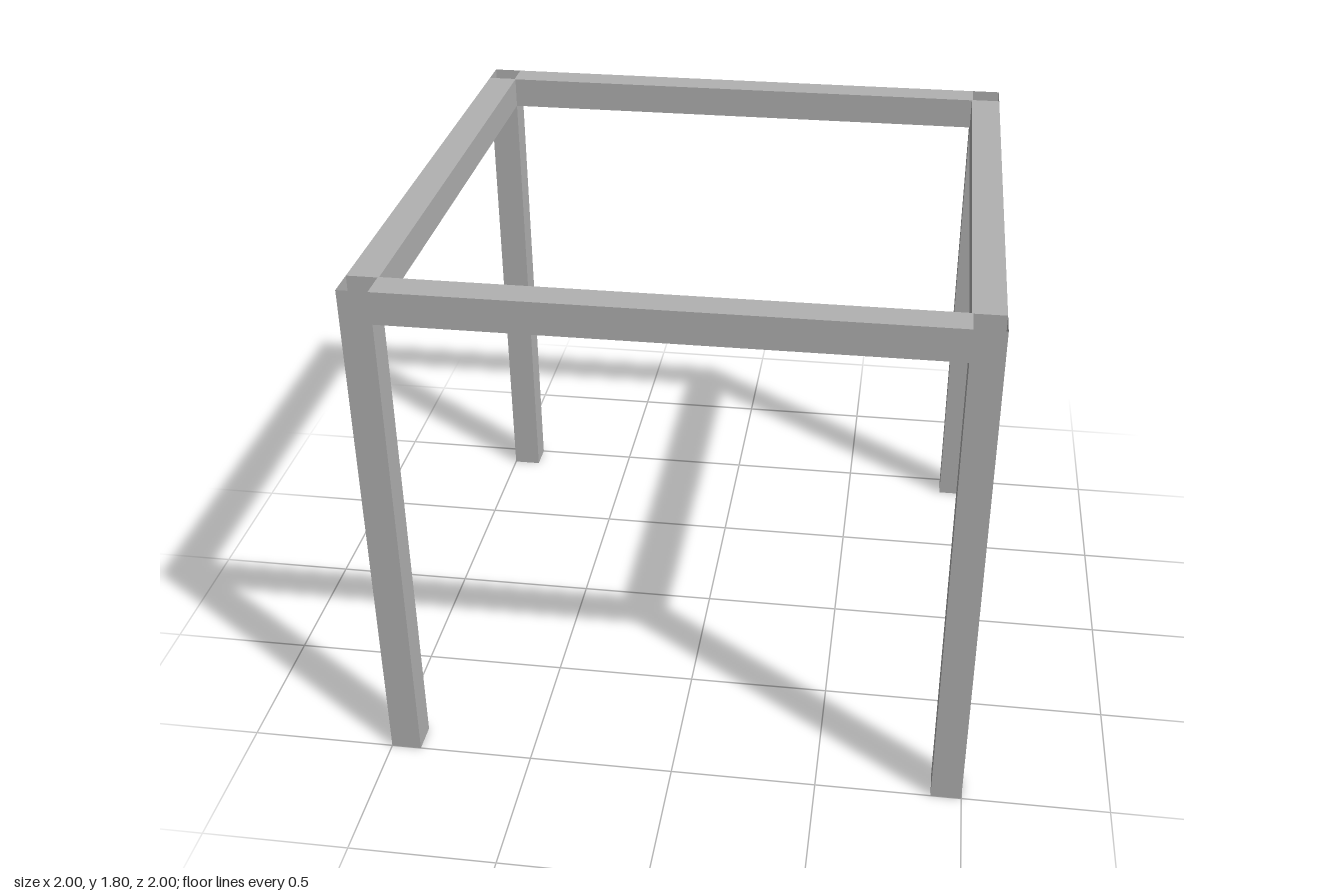
import * as THREE from 'three';

export function createModel() {
  const model = new THREE.Group();
  model.name = 'tableFrame';
  const steel = new THREE.MeshStandardMaterial({ color: 0xb2b2b2, side: THREE.DoubleSide });
  steel.name = 'grey steel';

  const height = 1.8, width = 0.104, railHeight = 0.11, railLength = 1.8;
  const offset = 1 - width / 2;

  // Hollow square leg, open at both ends
  const tube = new THREE.CylinderGeometry(width / Math.SQRT2, width / Math.SQRT2, height, 4, 1, true, Math.PI / 4);
  const legGeometry = tube.toNonIndexed();
  legGeometry.computeVertexNormals();
  const railGeometry = new THREE.BoxGeometry(railLength, railHeight, width);

  const add = (name, geometry, x, y, z, turn = 0) => {
    const mesh = new THREE.Mesh(geometry, steel);
    mesh.name = name;
    mesh.position.set(x, y, z);
    mesh.rotation.y = turn;
    model.add(mesh);
  };

  for (const [depth, sz] of [['front', 1], ['back', -1]]) {
    for (const [side, sx] of [['Left', 1], ['Right', -1]]) {
      add(`${depth}${side}Leg`, legGeometry, sx * offset, height / 2, sz * offset);
    }
  }

  // Rails between the legs, flush with their tops and outer faces
  const railY = height - railHeight / 2;
  add('frontRail', railGeometry, 0, railY, offset);
  add('backRail', railGeometry, 0, railY, -offset);
  add('leftRail', railGeometry, offset, railY, 0, Math.PI / 2);
  add('rightRail', railGeometry, -offset, railY, 0, Math.PI / 2);

  return model;
}
